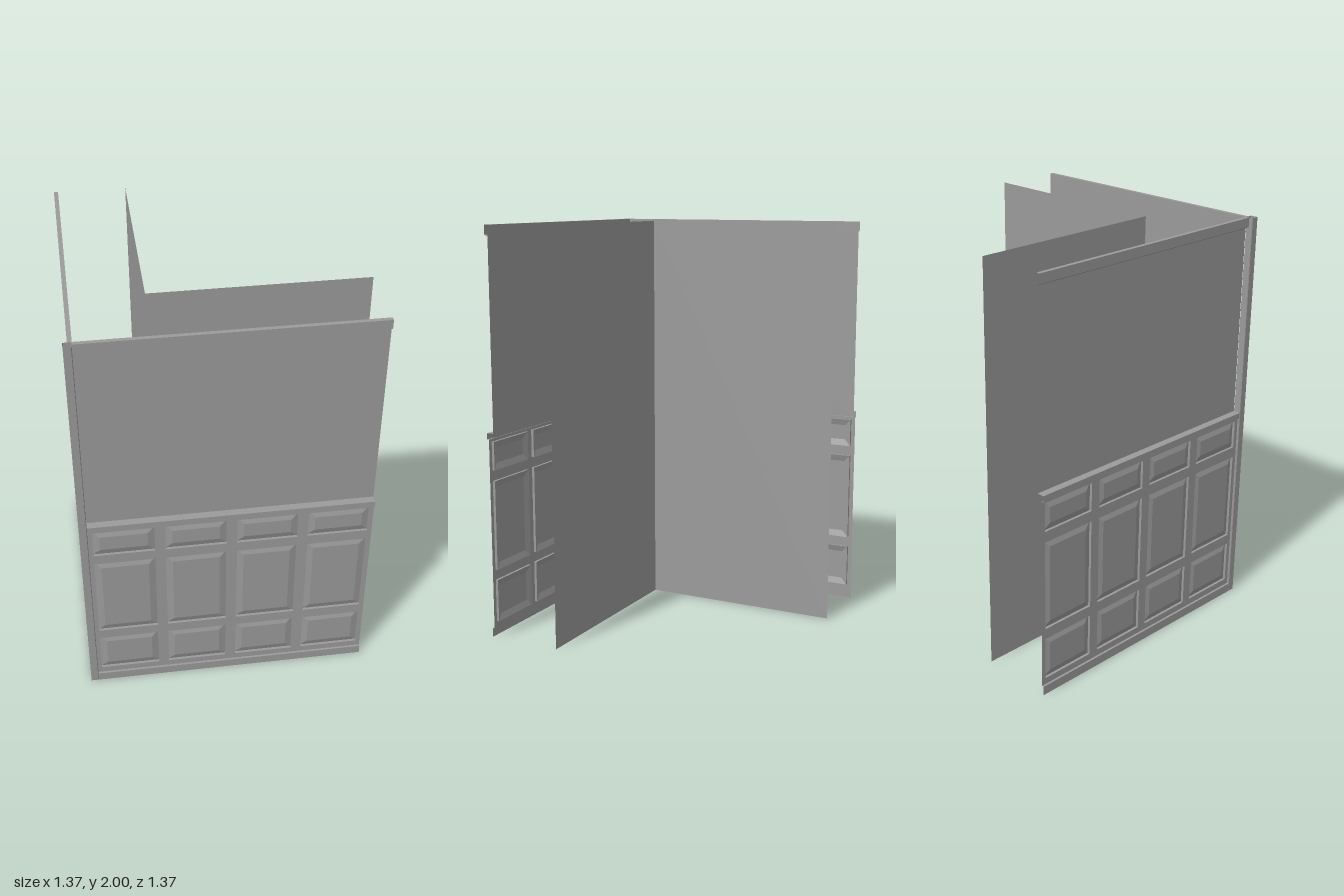
import * as THREE from 'three';

const material = new THREE.MeshStandardMaterial({ color: 0x9b9b9b, side: THREE.DoubleSide });

const HEIGHT = 2;
const INNER = 0.646;             // plane of the upper wall
const OUTER = 0.683;             // outermost face of rail, base and post
const HALF = (INNER + OUTER) / 2; // half the length of one wall
const FRAME = 0.026;             // depth of the wainscot frame
const RECESS = 0.013;            // depth of the groove round a panel
const RAISED = 0.023;            // depth of the raised panel field

function mesh(name, geometry) {
  const m = new THREE.Mesh(geometry, material);
  m.name = name;
  return m;
}

// Flat-shaded skin between successive rows of points
function loft(rows) {
  const pos = [];
  for (let i = 0; i + 1 < rows.length; i++) {
    for (let j = 0; j + 1 < rows[i].length; j++) {
      const a = rows[i][j], b = rows[i][j + 1], c = rows[i + 1][j + 1], d = rows[i + 1][j];
      pos.push(...a, ...b, ...c, ...a, ...c, ...d);
    }
  }
  const g = new THREE.BufferGeometry();
  g.setAttribute('position', new THREE.Float32BufferAttribute(pos, 3));
  g.computeVertexNormals();
  return g;
}

// Moulding: a [depth, height] profile, top to bottom, run along the wall
function moulding(name, profile) {
  return mesh(name, loft([-HALF, HALF].map(x => profile.map(([z, y]) => [x, y, z]))));
}

// Closed rectangular ring of points, anticlockwise from the front
function ring({ x0, x1, y0, y1 }, inset, z) {
  const l = x0 + inset, r = x1 - inset, b = y0 + inset, t = y1 - inset;
  return [[l, b, z], [r, b, z], [r, t, z], [l, t, z], [l, b, z]];
}

// Raised panel: square groove, bevel and flat field
function panel(rect) {
  const group = new THREE.Group();
  group.name = 'raisedPanel';
  group.add(mesh('panelBevel', loft([
    ring(rect, 0, FRAME), ring(rect, 0, RECESS), ring(rect, 0.032, RAISED),
  ])));
  const [bl, br, tr, tl] = ring(rect, 0.032, RAISED);
  group.add(mesh('panelField', loft([[bl, br], [tl, tr]])));
  return group;
}

function createWall(name) {
  const wall = new THREE.Group();
  wall.name = name;

  // Plain upper wall
  const upper = new THREE.PlaneGeometry(2 * HALF, 1);
  upper.translate(0, 1.5, 0);
  wall.add(mesh('upperWall', upper));

  // Grid of panel openings
  const rows = [[0.077, 0.288], [0.34, 0.783], [0.836, 0.976]];
  const width = 0.285, margin = 0.021;
  const pitch = (2 * HALF - 2 * margin - width) / 3;
  const rects = [];
  for (const [y0, y1] of rows) {
    for (let i = 0; i < 4; i++) {
      const x0 = -HALF + margin + i * pitch;
      rects.push({ x0, x1: x0 + width, y0, y1 });
    }
  }

  // Wainscot frame with the openings cut out
  const toPoints = r => ring(r, 0, 0).slice(0, 4).map(([x, y]) => new THREE.Vector2(x, y));
  const shape = new THREE.Shape(toPoints({ x0: -HALF, x1: HALF, y0: 0.045, y1: 0.99 }));
  for (const r of rects) shape.holes.push(new THREE.Path(toPoints(r).reverse()));
  const frame = new THREE.ShapeGeometry(shape);
  frame.translate(0, 0, FRAME);
  wall.add(mesh('wainscotFrame', frame));
  for (const r of rects) wall.add(panel(r));

  // Crown, chair rail and baseboard
  const depth = OUTER - INNER;
  wall.add(moulding('crownMoulding', [
    [-0.002, 2], [0.018, 2], [0.018, 1.955], [0, 1.945], [-0.002, 1.945], [-0.002, 2],
  ]));
  wall.add(moulding('chairRail', [[0, 1.02], [depth, 1.02], [depth, 0.99], [FRAME, 0.99]]));
  wall.add(moulding('baseboard', [[FRAME, 0.045], [depth, 0.045], [depth, 0]]));
  return wall;
}

export function createModel() {
  const model = new THREE.Group();
  model.name = 'panelledCornerWalls';

  // Two outer walls meeting at the corner
  const offset = (OUTER - INNER) / 2;
  const front = createWall('frontWall');
  front.position.set(offset, 0, INNER);
  const side = createWall('sideWall');
  side.rotation.y = -Math.PI / 2;
  side.position.set(-INNER, 0, -offset);
  model.add(front, side);

  // Open corner post, its edges next to the walls slightly chamfered
  const c = 0.003;
  const postRing = y => [
    [-OUTER, OUTER], [-INNER - c, OUTER], [-INNER, OUTER - c], [-INNER, INNER + c],
    [-INNER - c, INNER], [-OUTER + c, INNER], [-OUTER, INNER + c], [-OUTER, OUTER],
  ].map(([x, z]) => [x, y, z]);
  model.add(mesh('cornerPost', loft([postRing(0), postRing(HEIGHT)])));

  // Plain inner walls
  const corner = 0.316, length = corner + OUTER, middle = (OUTER - corner) / 2;
  const innerFront = mesh('innerFrontWall', new THREE.PlaneGeometry(length, HEIGHT));
  innerFront.position.set(middle, HEIGHT / 2, corner);
  const innerSide = mesh('innerSideWall', new THREE.PlaneGeometry(length, HEIGHT));
  innerSide.rotation.y = -Math.PI / 2;
  innerSide.position.set(-corner, HEIGHT / 2, -middle);
  model.add(innerFront, innerSide);

  return model;
}
